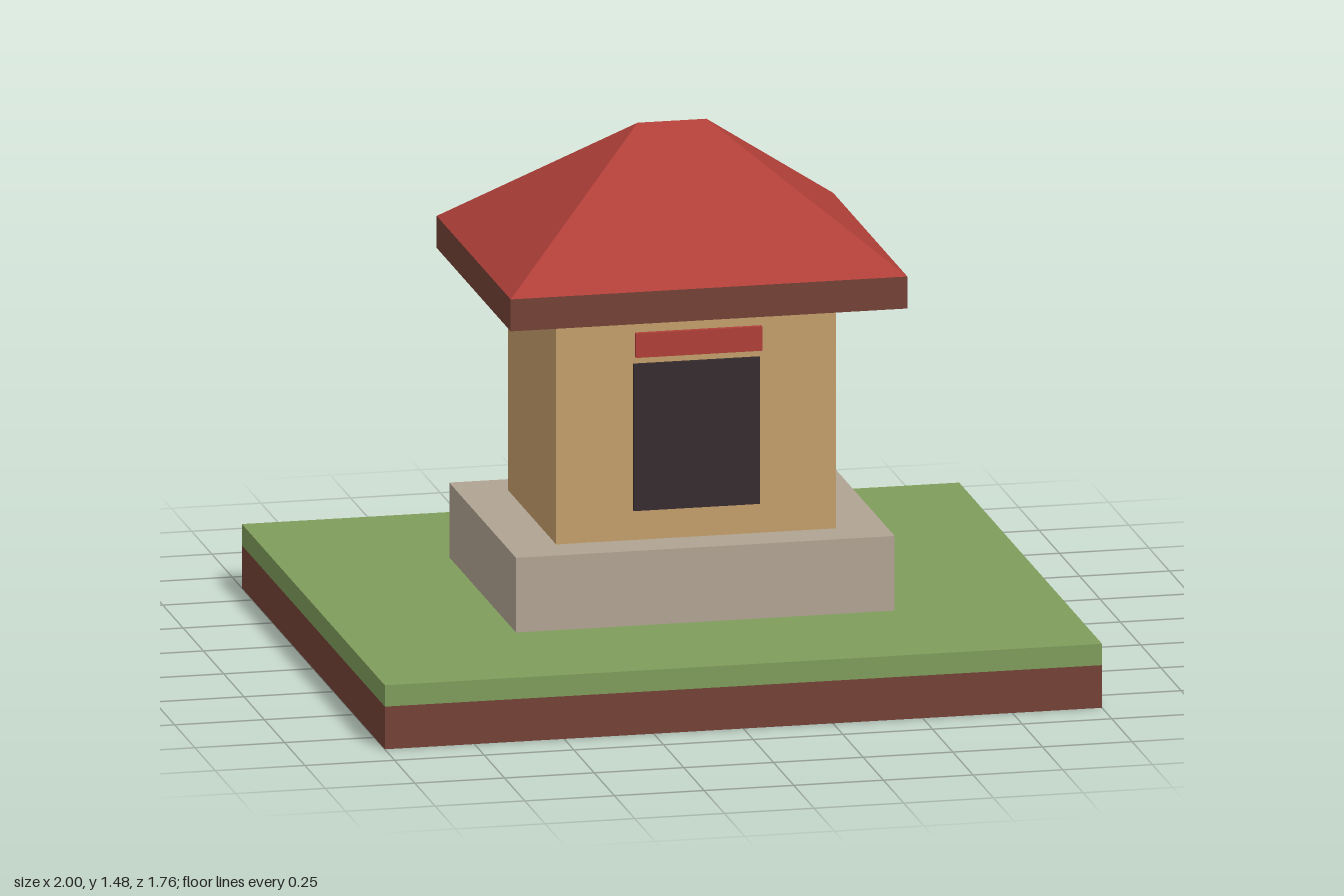
import * as THREE from 'three';

const mat = (name, color) =>
  new THREE.MeshStandardMaterial({ name, color, side: THREE.DoubleSide, flatShading: true });

export function createModel() {
  const model = new THREE.Group();
  model.name = 'shrine';

  const grass = mat('grass green', 0x7f9c5b);
  const brown = mat('earth brown', 0x744236);
  const stone = mat('stone grey', 0xb0a492);
  const tan = mat('wall tan', 0xc49e6b);
  const red = mat('roof red', 0xaf3f38);
  const dark = mat('door dark', 0x352c2e);

  const add = (name, geometry, material) => {
    const mesh = new THREE.Mesh(geometry, material);
    mesh.name = name;
    model.add(mesh);
    return mesh;
  };

  // Box with an open underside, centred on x, spanning y0..y1 and z0..z1
  const openBox = (name, material, halfX, y0, y1, z0, z1) => {
    const g = new THREE.BoxGeometry(halfX * 2, y1 - y0, z1 - z0);
    const index = Array.from(g.index.array);
    index.splice(18, 6); // drop the bottom face
    g.setIndex(index);
    g.clearGroups();
    g.translate(0, (y0 + y1) / 2, (z0 + z1) / 2);
    return add(name, g, material);
  };

  // Ground slab
  openBox('earthSlab', brown, 1, 0, 0.12, -0.88, 0.88);
  openBox('grassLayer', grass, 1, 0.12, 0.18, -0.88, 0.88);

  // Plinth and walls
  openBox('plinth', stone, 0.528, 0.18, 0.39, -0.411, 0.411);
  openBox('walls', tan, 0.39, 0.39, 1.04, -0.296, 0.296);

  // Doorway plate and the small bar hanging in front of it
  openBox('doorway', dark, 0.176, 0.474, 0.887, 0.298, 0.307);
  openBox('doorBar', red, 0.176, 0.912, 0.98, 0.32, 0.335);

  // Eaves, hollow underneath
  openBox('eaves', brown, 0.553, 1.04, 1.13, -0.456, 0.456);

  // Hipped roof with a short ridge
  const [x, z, y0, y1, r] = [0.553, 0.456, 1.13, 1.483, 0.096];
  const [fl, fr, br, bl] = [[-x, y0, z], [x, y0, z], [x, y0, -z], [-x, y0, -z]];
  const [rl, rr] = [[-r, y1, 0], [r, y1, 0]];
  const triangles = [
    fl, fr, rr, fl, rr, rl, // front slope
    br, bl, rl, br, rl, rr, // back slope
    fr, br, rr, // left hip
    bl, fl, rl, // right hip
  ];
  const roof = new THREE.BufferGeometry();
  roof.setAttribute('position', new THREE.Float32BufferAttribute(triangles.flat(), 3));
  roof.computeVertexNormals();
  add('roof', roof, red);

  return model;
}
